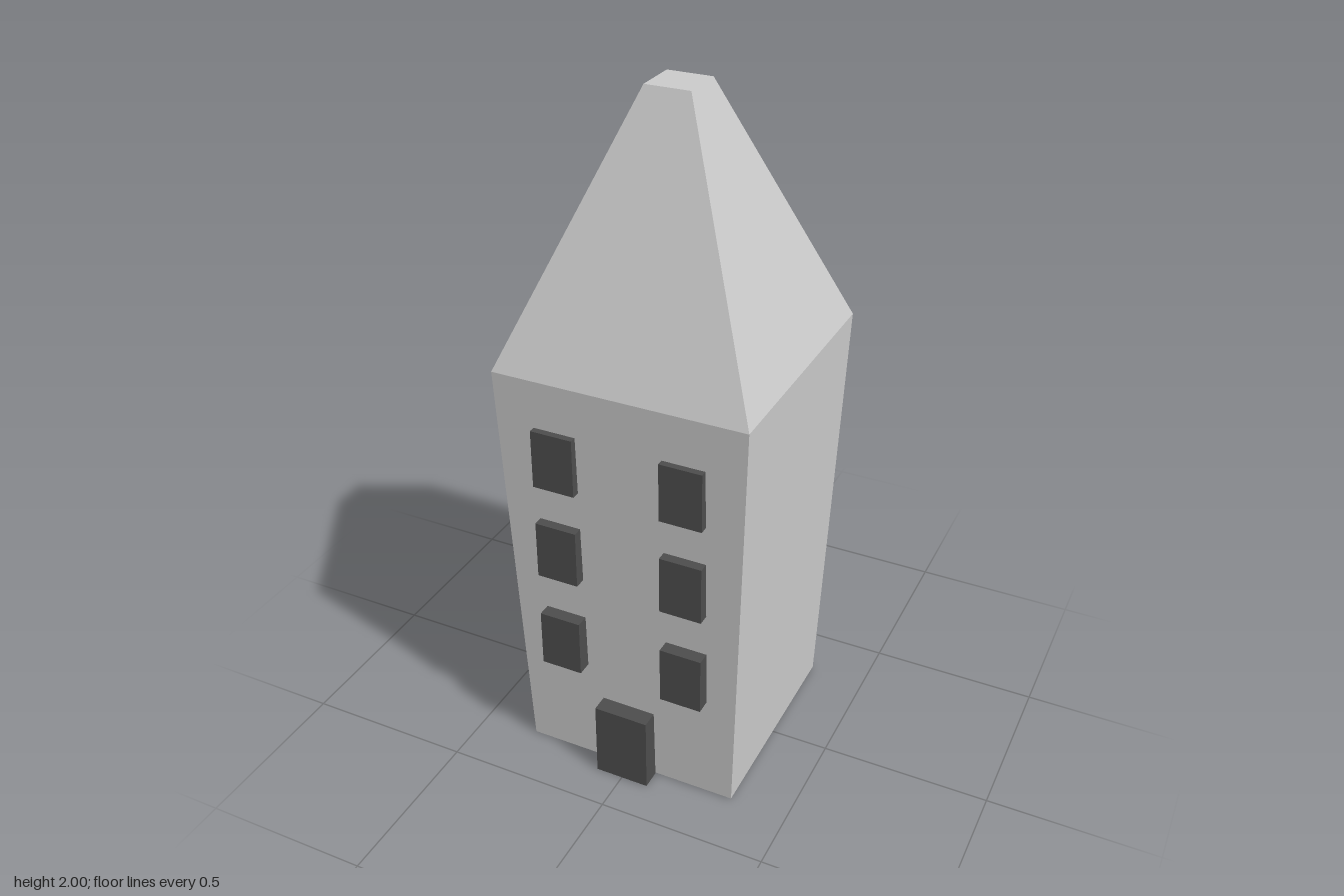
import * as THREE from 'three';

const wallMaterial = new THREE.MeshStandardMaterial({ color: 0xcccccc, flatShading: true });
const darkMaterial = new THREE.MeshStandardMaterial({ color: 0x4d4d4d, flatShading: true });

const CENTRE_Z = -0.009;

// Square tapered block; half widths at the bottom and the top
function taperedBlock(name, halfBottom, halfTop, y0, y1) {
  const geometry = new THREE.CylinderGeometry(halfTop * Math.SQRT2, halfBottom * Math.SQRT2, y1 - y0, 4);
  geometry.rotateY(Math.PI / 4);
  const mesh = new THREE.Mesh(geometry, wallMaterial);
  mesh.name = name;
  mesh.position.set(0, (y0 + y1) / 2, CENTRE_Z);
  return mesh;
}

// Dark panel set into the front wall
function panel(name, x, y0, width, height, back, front) {
  const mesh = new THREE.Mesh(new THREE.BoxGeometry(width, height, front - back), darkMaterial);
  mesh.name = name;
  mesh.position.set(x, y0 + height / 2, (back + front) / 2);
  return mesh;
}

export function createModel() {
  const house = new THREE.Group();
  house.name = 'towerHouse';

  // Walls flare outwards up to the eaves; the roof narrows to a flat top
  house.add(taperedBlock('walls', 0.328, 0.369, 0.003, 1.273));
  house.add(taperedBlock('roof', 0.369, 0.065, 1.273, 2));

  house.add(panel('door', 0, 0, 0.164, 0.237, 0.22, 0.378));

  // Three storeys of paired windows
  const windows = new THREE.Group();
  windows.name = 'windows';
  for (const y of [0.35, 0.66, 0.955]) {
    for (const side of [1, -1]) {
      windows.add(panel(side > 0 ? 'leftWindow' : 'rightWindow', side * 0.189, y, 0.124, 0.175, 0.25, 0.375));
    }
  }
  house.add(windows);
  return house;
}
